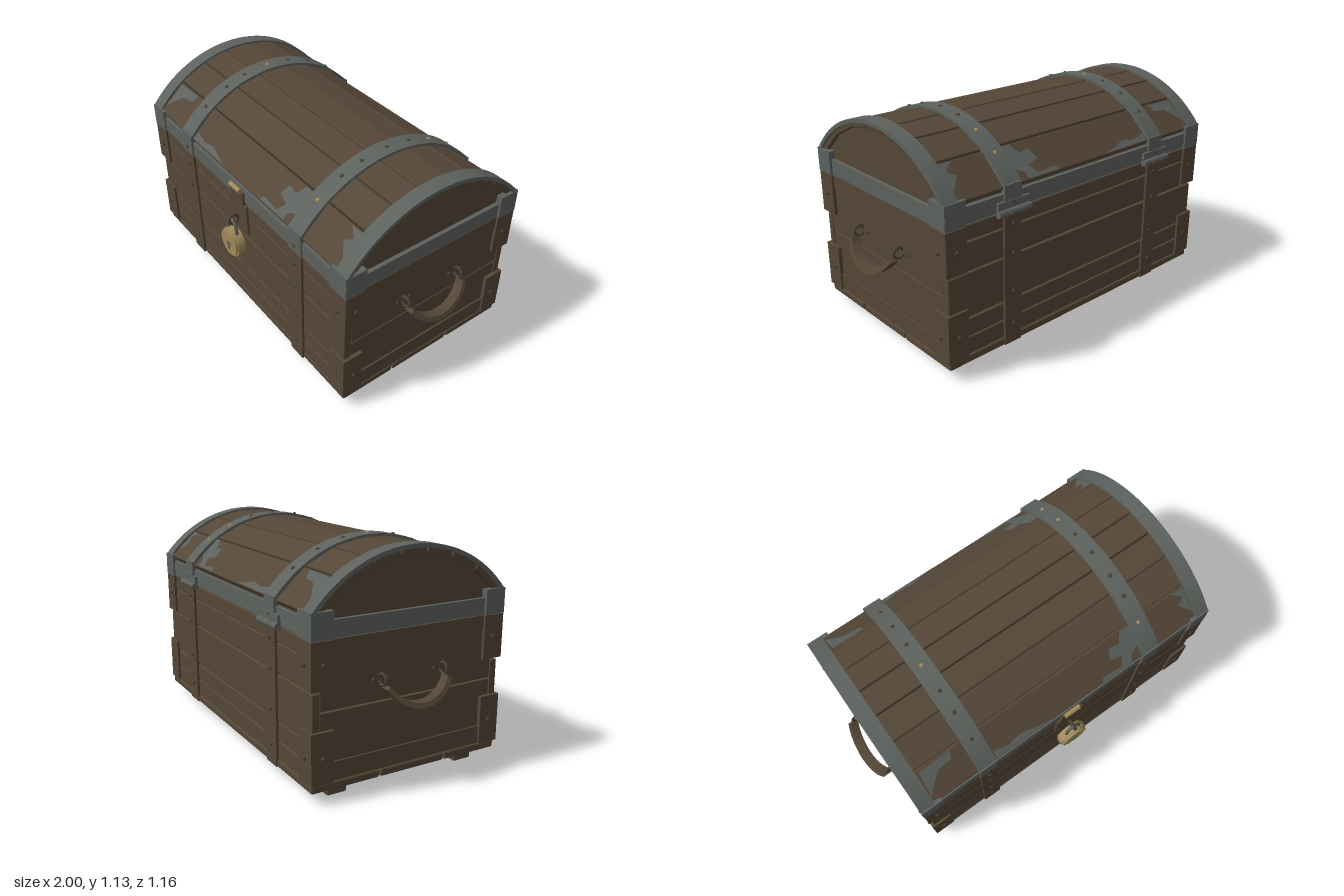
import * as THREE from 'three';
import { RoundedBoxGeometry } from 'three/addons/geometries/RoundedBoxGeometry.js';

const mat = (name, color, side = THREE.FrontSide) =>
  Object.assign(new THREE.MeshStandardMaterial({ color, side }), { name });

export function createModel() {
  const wood = mat('wood', 0x554737);
  const gap = mat('dark gap', 0x2c251d);
  const iron = mat('iron', 0x5d625e);
  const brass = mat('brass', 0xa18a5a);
  const rivetMat = mat('rivet', 0x4c4236);

  const L = 0.895, D = 0.53;          // half length and half depth
  const CY = 0.454, R = 0.676;        // lid arch centre height and radius
  const chest = new THREE.Group();
  chest.name = 'chest';
  chest.position.z = -0.025;

  const add = (parent, name, geo, material, x = 0, y = 0, z = 0) => {
    const m = new THREE.Mesh(geo, material);
    m.name = name;
    m.position.set(x, y, z);
    parent.add(m);
    return m;
  };
  // Box given by its low and high corners, with softened edges when r > 0
  const box = (parent, name, material, [x0, x1], [y0, y1], [z0, z1], r = 0) => {
    const s = [x1 - x0, y1 - y0, z1 - z0];
    const geo = r ? new RoundedBoxGeometry(...s, 2, r) : new THREE.BoxGeometry(...s);
    return add(parent, name, geo, material, (x0 + x1) / 2, (y0 + y1) / 2, (z0 + z1) / 2);
  };
  const domeGeo = new THREE.SphereGeometry(0.013, 10, 4, 0, Math.PI * 2, 0, Math.PI / 2);
  // Rivet head, its dome facing up, front (+z) or side (+x)
  const rivet = (parent, x, y, z, rx = 0, rz = 0, material = rivetMat, s = 1) => {
    const m = add(parent, 'rivet', domeGeo, material, x, y, z);
    m.rotation.set(rx, 0, rz);
    m.scale.set(s, s * 0.8, s);
  };
  // Curved strip between two radii, swept along x from 0 to width
  const archGeo = (r0, r1, mid, half, width, cy) => {
    const s = new THREE.Shape();
    s.absarc(0, cy, r1, mid - half, mid + half, false);
    s.absarc(0, cy, r0, mid + half, mid - half, true);
    return new THREE.ExtrudeGeometry(s, { depth: width, bevelEnabled: false, curveSegments: 28 })
      .rotateY(Math.PI / 2);
  };

  // Inner body, floor boards and runners
  box(chest, 'bodyCore', gap, [-0.86, 0.86], [0.085, 0.757], [-0.5, 0.5]);
  for (const [a, b] of [[0.21, 0.52], [-0.16, 0.204], [-0.525, -0.166]])
    box(chest, 'floorBoard', wood, [-0.888, 0.888], [0.06, 0.1], [a, b], 0.01);
  for (const z of [0.365, -0.365])
    box(chest, 'runner', wood, [-0.84, 0.84], [0.005, 0.058], [z - 0.053, z + 0.053], 0.012);

  // Front and back walls
  for (const turn of [0, Math.PI]) {
    const wall = new THREE.Group();
    wall.name = turn ? 'backWall' : 'frontWall';
    wall.rotation.y = turn;
    chest.add(wall);
    [[0.1, 0.191], [0.196, 0.288], [0.295, 0.52], [0.529, 0.672], [0.677, 0.753]].forEach(([a, b], i) => {
      const m = box(wall, 'wallPlank', wood, [-0.88, 0.88], [a, b], [0.478, 0.518], 0.006);
      m.rotation.z = [0, 0.001, -0.0015, 0.0015, 0][i];
    });
    box(wall, 'lidRim', iron, [-0.885, 0.885], [0.762, 0.842], [0.5, 0.522]);
    for (const s of [-1, 1]) {
      const span = (a, b) => (s > 0 ? [a, b] : [-b, -a]);
      box(wall, 'bodyStrap', wood, span(0.457, 0.56), [0.062, 0.753], [0.51, D]);
      box(wall, 'lidStrapEnd', iron, span(0.457, 0.56), [0.762, 0.885], [0.51, D + 0.002]);
      box(wall, 'upperCornerPlate', wood, span(0.78, L), [0.535, 0.753], [0.51, D]);
      box(wall, 'lowerCornerPlate', wood, span(0.78, L), [0.1, 0.345], [0.51, D]);
      box(wall, 'lidCornerPlate', iron, span(0.78, L), [0.757, 0.88], [0.51, D + 0.002]);
      for (const y of [0.165, 0.34, 0.54, 0.69, 0.8])
        rivet(wall, s * 0.508, y, D, Math.PI / 2, 0, rivetMat, 0.9);
      for (const y of [0.22, 0.645]) rivet(wall, s * 0.835, y, D, Math.PI / 2);
    }
  }

  // End walls with their carrying handles
  for (const turn of [0, Math.PI]) {
    const end = new THREE.Group();
    end.name = turn ? 'rightEnd' : 'leftEnd';
    end.rotation.y = turn;
    chest.add(end);
    box(end, 'endPlank', wood, [0.84, 0.876], [0.1, 0.426], [-0.478, 0.478], 0.005);
    box(end, 'endPlank', wood, [0.84, 0.878], [0.432, 0.753], [-0.478, 0.478], 0.005);
    box(end, 'lowerRail', wood, [0.86, 0.884], [0.102, 0.192], [-0.48, 0.48]);
    box(end, 'upperRail', wood, [0.86, 0.884], [0.68, 0.753], [-0.48, 0.48]);
    box(end, 'lidRim', iron, [0.85, 0.885], [0.757, 0.838], [-0.515, 0.515]);
    for (const s of [-1, 1]) {
      const span = (a, b) => (s > 0 ? [a, b] : [-b, -a]);
      box(end, 'upperCornerPlate', wood, [0.87, L], [0.535, 0.753], span(0.418, D));
      box(end, 'lowerCornerPlate', wood, [0.87, L], [0.1, 0.345], span(0.418, D));
      box(end, 'lidCornerPlate', iron, [0.86, L + 0.002], [0.757, 0.88], span(0.418, D + 0.001));
      for (const y of [0.22, 0.645]) rivet(end, L, y, s * 0.47, 0, -Math.PI / 2);
      // Handle staple
      add(end, 'handleStaple', new THREE.TorusGeometry(0.027, 0.007, 8, 16), rivetMat, 0.9, 0.537, s * 0.17);
      for (const z of [0.13, 0.205]) rivet(end, 0.878, 0.533, s * z, 0, -Math.PI / 2, rivetMat, 0.8);
    }
    // Handle band, leaning outward toward its lowest point
    const g = archGeo(0.19, 0.212, -Math.PI / 2, 1.01, 0.048, 0.617);
    const p = g.attributes.position;
    for (let i = 0; i < p.count; i++) p.setX(i, p.getX(i) + 0.905 + 0.45 * (0.51 - p.getY(i)));
    g.computeVertexNormals();
    add(end, 'handle', g, wood);
  }

  // Lid core, closing both arched ends
  const half = Math.asin(0.505 / 0.64);
  const profile = new THREE.Shape();
  profile.moveTo(0.505, 0.762);
  profile.absarc(0, CY, 0.64, Math.PI / 2 - half, Math.PI / 2 + half, false);
  profile.lineTo(-0.505, 0.762);
  add(chest, 'lidEndPanels', new THREE.ExtrudeGeometry(profile, { depth: 1.73, bevelEnabled: false, curveSegments: 28 })
    .rotateY(Math.PI / 2), wood, -0.865);

  // Worn patches, as outlines (along the plank, up the slope)
  const leftWear = [[-0.81, -0.06], [-0.8, 0.09], [-0.62, 0.095], [-0.64, 0.05], [-0.72, 0.04], [-0.78, -0.02]];
  const midWear = [[0.2, -0.095], [0.22, -0.07], [0.33, -0.08], [0.36, -0.03], [0.29, -0.01], [0.31, 0.05],
    [0.37, 0.04], [0.4, 0.095], [0.46, 0.095], [0.46, -0.02], [0.4, -0.06], [0.4, -0.095]];
  const rightWear = [[0.81, -0.05], [0.75, 0.02], [0.79, 0.05], [0.74, 0.095], [0.81, 0.095]];
  const lowWear = [[-0.45, -0.095], [-0.45, -0.05], [-0.36, -0.07], [-0.28, -0.055], [-0.2, -0.08], [-0.12, -0.095]];

  // Lid planks laid flat around the arch
  const breaks = [-0.525, -0.37, -0.218, -0.073, 0.073, 0.218, 0.37, 0.525];
  const RP = 0.668;
  for (let i = 0; i < 7; i++) {
    const a0 = Math.asin(breaks[i] / RP), a1 = Math.asin(breaks[i + 1] / RP);
    const a = (a0 + a1) / 2, h = RP * Math.cos((a1 - a0) / 2);
    const width = 2 * RP * Math.sin((a1 - a0) / 2) - 0.008;
    const plank = new THREE.Group();
    plank.name = 'lidPlank';
    plank.position.set(0, CY + h * Math.cos(a), h * Math.sin(a));
    plank.rotation.x = a;
    chest.add(plank);
    box(plank, 'board', wood, [-0.882, 0.882], [-0.036, 0], [-width / 2, width / 2], 0.007);
    if (i === 0 || i === 6) {
      const dir = i ? 1 : -1;
      for (const outline of [leftWear, midWear, rightWear, lowWear]) {
        const s = new THREE.Shape(outline.map(([x, v]) => new THREE.Vector2(x, v * dir)));
        add(plank, 'wornPatch', new THREE.ShapeGeometry(s).rotateX(-Math.PI / 2), iron, 0, 0.002, 0);
      }
    }
  }

  // Arched iron bands and straps with rivets
  const archHalf = Math.asin(D / R);
  for (const s of [-1, 1]) {
    add(chest, 'lidEndBand', archGeo(0.655, R - 0.001, Math.PI / 2, archHalf, 0.08, CY), iron, s * 0.855 - 0.04);
    add(chest, 'lidStrap', archGeo(0.65, R + 0.002, Math.PI / 2, archHalf, 0.103, CY), iron, s * 0.508 - 0.0515);
    [-0.405, -0.275, -0.14, -0.005, 0.145, 0.26, 0.395].forEach((z, i) => {
      const a = Math.asin(z / R);
      const shiny = s > 0 ? [0, 1, 6].includes(i) : i === 3;
      rivet(chest, s * 0.508, CY + R * Math.cos(a), z, a, 0, shiny ? brass : rivetMat, 0.9);
    });
    // Back hinge: three knuckles and two leaves
    for (const k of [-1, 0, 1])
      add(chest, 'hingeKnuckle', new THREE.CylinderGeometry(0.017, 0.017, 0.062, 12).rotateZ(Math.PI / 2),
        iron, s * 0.508 + k * 0.066, 0.757, -0.537);
    box(chest, 'hingeLeaf', iron, [s * 0.508 - 0.095, s * 0.508 + 0.095], [0.757, 0.81], [-0.536, -0.515]);
  }

  // Lock plate, hasp and pin
  box(chest, 'lockPlate', wood, [-0.083, 0.083], [0.565, 0.748], [0.51, 0.53], 0.004);
  box(chest, 'hasp', wood, [-0.062, 0.062], [0.745, 0.822], [0.515, 0.535], 0.004);
  add(chest, 'haspPin', new THREE.CylinderGeometry(0.013, 0.013, 0.09, 12).rotateZ(Math.PI / 2), brass, 0, 0.83, 0.537);
  for (const x of [-0.065, 0.065])
    for (const y of [0.59, 0.725]) rivet(chest, x, y, 0.53, Math.PI / 2, 0, rivetMat, 0.6);
  add(chest, 'lockStaple', new THREE.TorusGeometry(0.027, 0.008, 8, 20).rotateY(Math.PI / 2), rivetMat, 0, 0.635, 0.562);

  // Padlock
  const lock = new THREE.Group();
  lock.name = 'padlock';
  lock.position.set(0, 0.492, 0.571);
  chest.add(lock);
  const arc = new THREE.CatmullRomCurve3([[-0.038, 0.05], [-0.038, 0.1], [-0.024, 0.133], [0, 0.145],
    [0.024, 0.133], [0.038, 0.1], [0.038, 0.05]].map(([x, y]) => new THREE.Vector3(x, y, 0)));
  add(lock, 'shackle', new THREE.TubeGeometry(arc, 24, 0.009, 8), iron);
  add(lock, 'lockBody', new THREE.CylinderGeometry(0.075, 0.075, 0.058, 28).rotateX(Math.PI / 2), brass);
  add(lock, 'lockRim', new THREE.CylinderGeometry(0.083, 0.083, 0.034, 28).rotateX(Math.PI / 2), brass);
  add(lock, 'keyholeCover', new THREE.CylinderGeometry(0.017, 0.017, 0.006, 16).rotateX(Math.PI / 2), iron, 0, -0.005, 0.03);
  box(lock, 'keyhole', iron, [-0.007, 0.007], [-0.04, -0.01], [0.027, 0.033]);
  for (let i = 0; i < 12; i++) {
    const a = (i / 12) * Math.PI * 2;
    rivet(lock, 0.063 * Math.cos(a), 0.063 * Math.sin(a), 0.029, Math.PI / 2, 0, brass, 0.4);
  }

  const model = new THREE.Group();
  model.name = 'treasureChest';
  model.add(chest);
  return model;
}
